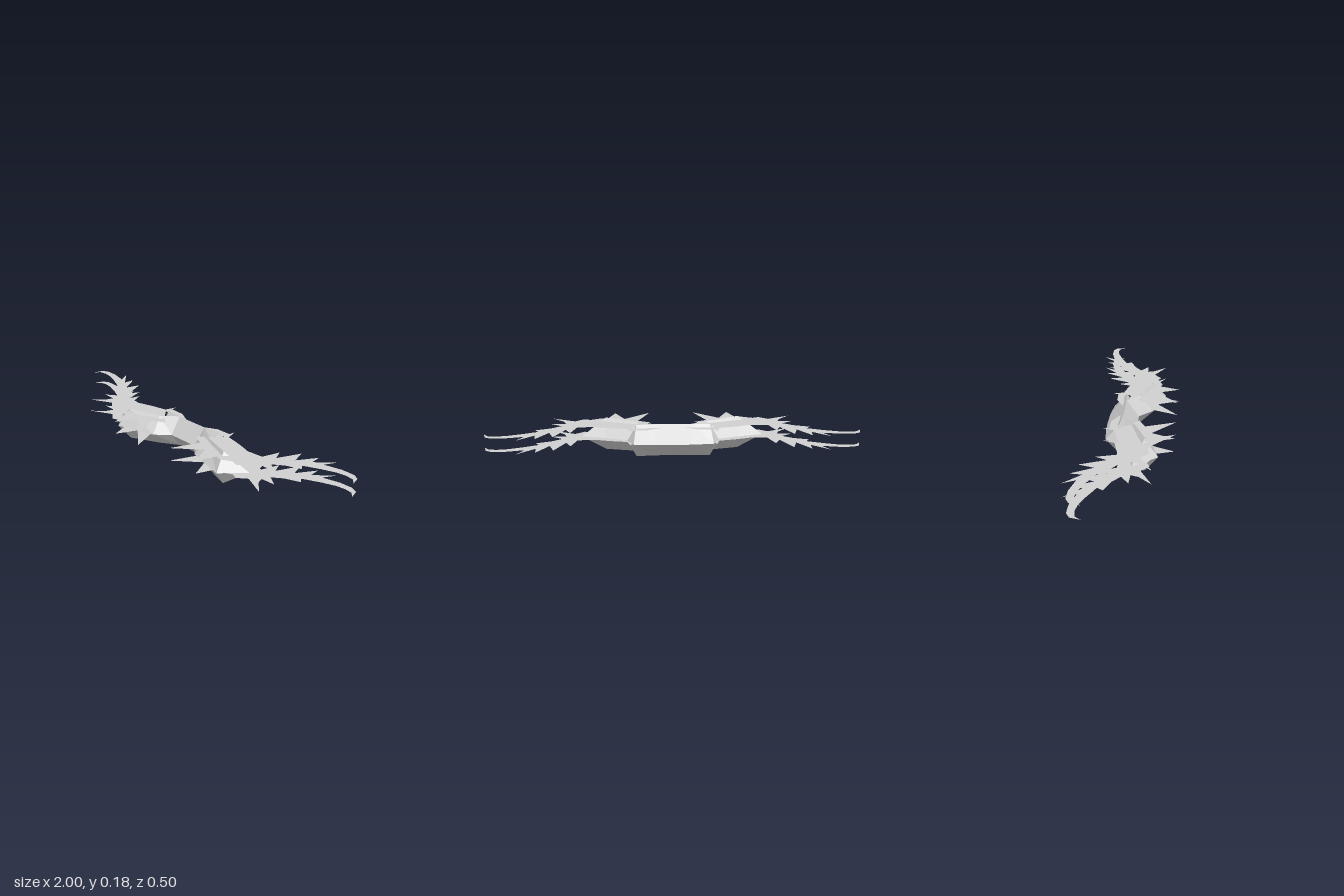
import * as THREE from 'three';

const MID = 0.092; // height of the horizontal symmetry plane

// One diamond cross-section: back edge, top ridge, front edge, bottom ridge
function ring([bx, bz], [rx, ry, rz], [fx, fz]) {
  return [[bx, MID, bz], [rx, ry, rz], [fx, MID, fz], [rx, 2 * MID - ry, rz]];
}

// All four corners meet in a point
const point = (x, z) => Array(4).fill([x, MID, z]);

// Mirrored rings run the other way so the faces stay outward
const mirrored = (rings) =>
  rings.map((r) => r.map(([x, y, z]) => [-x, y, z])).reverse();

function loft(rings) {
  const pos = [];
  for (let i = 0; i < rings.length - 1; i++) {
    const a = rings[i], b = rings[i + 1];
    for (let j = 0; j < 4; j++) {
      const k = (j + 1) % 4;
      if (a[j] !== a[k]) pos.push(...a[j], ...a[k], ...b[k]);
      if (b[j] !== b[k]) pos.push(...a[j], ...b[k], ...b[j]);
    }
  }
  const geo = new THREE.BufferGeometry();
  geo.setAttribute('position', new THREE.Float32BufferAttribute(pos, 3));
  geo.computeVertexNormals();
  return geo;
}

const CENTRE = ring([0, -0.135], [0, 0.18, -0.04], [0, 0.03]);
const SHOULDER = ring([0.1, -0.133], [0.1, 0.181, -0.04], [0.09, 0.03]);

// Half of the curved body, from the middle to the pointed end
const BODY = [
  SHOULDER,
  ring([0.21, -0.05], [0.19, 0.176, 0.027], [0.165, 0.1]),
  ring([0.37, 0.005], [0.37, 0.184, 0.095], [0.39, 0.166]),
  point(0.5, 0.042),
];

// Barb that carries the back of the body outwards
const BARB = [
  SHOULDER,
  ring([0.215, -0.122], [0.2, 0.181, -0.048], [0.17, 0.02]),
  point(0.25, -0.05),
];

// Wing outline as [x, z], from the inner back spike outwards
const WING = [
  [0.23, -0.135], [0.25, -0.07], [0.34, -0.05], [0.43, -0.022], [0.52, -0.03],
  [0.55, -0.13], [0.578, -0.07], [0.635, -0.2], [0.66, -0.12], [0.725, -0.228],
  [0.73, -0.165], [0.82, -0.25], [0.785, -0.185], [0.88, -0.207], [0.95, -0.207],
  [0.985, -0.188], [1.0, -0.133], [0.975, -0.165], [0.93, -0.172], [0.88, -0.165],
  [0.81, -0.14], [0.72, -0.1], [0.74, -0.07], [0.66, -0.04], [0.605, 0.0],
  [0.665, 0.042], [0.585, 0.045], [0.6, 0.085], [0.665, 0.152], [0.54, 0.09],
  [0.49, 0.13], [0.455, 0.115], [0.39, 0.145], [0.36, 0.135], [0.32, 0.245],
  [0.265, 0.125], [0.125, 0.245], [0.19, 0.085], [0.12, 0.05], [0.18, 0.0],
  [0.23, -0.055], [0.06, -0.058], [0.14, -0.098], [0.225, -0.1],
];

function wingGeometry(side) {
  const shape = new THREE.Shape(WING.map(([x, z]) => new THREE.Vector2(side * x, -z)));
  return new THREE.ShapeGeometry(shape).rotateX(-Math.PI / 2);
}

export function createModel() {
  const model = new THREE.Group();
  model.name = 'wingedBar';
  const grey = new THREE.MeshStandardMaterial({
    color: 0xd0d0d0, flatShading: true, side: THREE.DoubleSide,
  });
  grey.name = 'lightGrey';

  const add = (name, geo, y = 0) => {
    const mesh = new THREE.Mesh(geo, grey);
    mesh.name = name;
    mesh.position.y = y;
    model.add(mesh);
  };

  // Curved body
  add('body', loft([...mirrored(BODY), CENTRE, ...BODY]));

  // Barbs and the two stacked flat wings on each side
  for (const side of [1, -1]) {
    const label = side > 0 ? 'left' : 'right';
    add(label + 'Barb', loft(side > 0 ? BARB : mirrored(BARB)));
    add(label + 'UpperWing', wingGeometry(side), 0.165);
    add(label + 'LowerWing', wingGeometry(side), MID);
  }
  return model;
}
